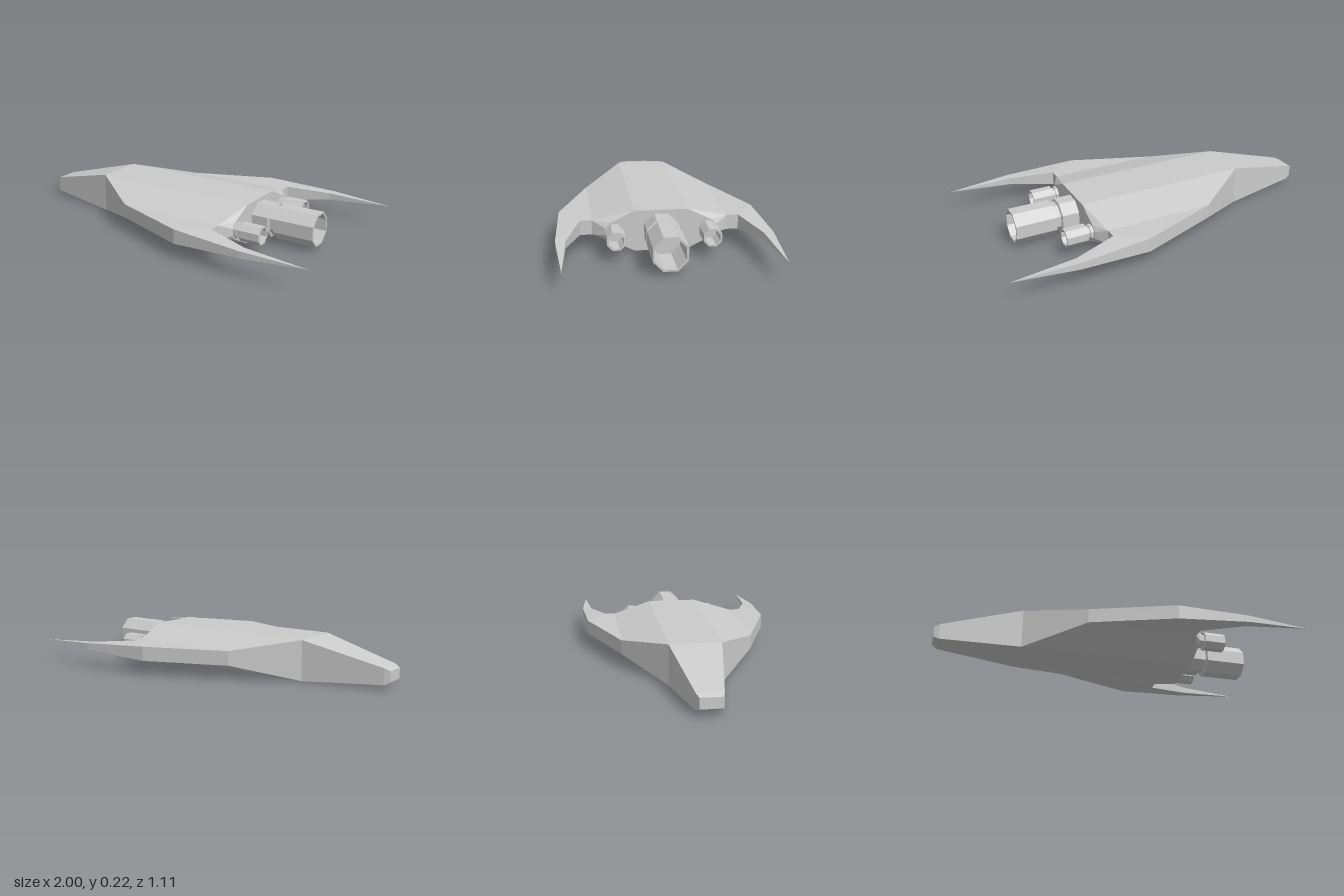
import * as THREE from 'three';
import { ConvexGeometry } from 'three/addons/geometries/ConvexGeometry.js';

const material = new THREE.MeshStandardMaterial({ color: 0xcccccc, flatShading: true });
const ENGINE_Y = 0.112;

function addMesh(group, name, geometry) {
  const mesh = new THREE.Mesh(geometry, material);
  mesh.name = name;
  group.add(mesh);
  return mesh;
}

// Faceted solid through corner points given as [x, y, z]
function solid(corners) {
  return new ConvexGeometry(corners.map((c) => new THREE.Vector3(...c)));
}

// Vertical edge: one point at the bottom height, one at the top height
const edge = (x, z, y0, y1) => [[x, y0, z], [x, y1, z]];

// Edge and its mirror image across the centre line
const edges = (x, z, y0, y1) => [...edge(x, z, y0, y1), ...edge(x, -z, y0, y1)];

// Octagon of corners facing aft, flats on top and bottom
function octagon(x, z, flat) {
  const r = flat / Math.cos(Math.PI / 8);
  return Array.from({ length: 8 }, (_, i) => {
    const a = (i + 0.5) * Math.PI / 4;
    return [x, ENGINE_Y + r * Math.sin(a), z + r * Math.cos(a)];
  });
}

// Eight-sided engine from [x, half-width] pairs, axis along x
function engine(profile) {
  const k = 1 / Math.cos(Math.PI / 8);
  const points = profile.map(([x, r]) => new THREE.Vector2(r * k, x));
  return new THREE.LatheGeometry(points, 8, Math.PI / 8).rotateZ(-Math.PI / 2);
}

export function createModel() {
  const model = new THREE.Group();
  model.name = 'spacecraft';

  // Tapered nose with a bevelled tip
  addMesh(model, 'nose', solid([
    ...edges(-1, 0.056, 0.042, 0.1),
    ...edges(-0.97, 0.069, 0.026, 0.114),
    ...edges(-0.53, 0.14, 0, 0.222),
  ]));

  // Main body: flat spine, sloping shoulders, rear wall with bulges for the side engines
  addMesh(model, 'hull', solid([
    ...edges(-0.53, 0.14, 0, 0.222),
    ...edges(-0.21, 0.362, 0.083, 0.162),
    ...edges(0.402, 0.362, 0.083, 0.162),
    ...edges(0.45, 0.14, 0, 0.222),
    ...octagon(0.45, 0.248, 0.048),
    ...octagon(0.45, -0.248, 0.048),
  ]));

  for (const s of [1, -1]) {
    const side = s > 0 ? 'left' : 'right';

    // Flat wing slab beside the hull
    addMesh(model, side + 'Wing', solid([
      ...edge(-0.21, s * 0.362, 0.083, 0.162),
      ...edge(0.402, s * 0.362, 0.083, 0.162),
      ...edge(0.402, s * 0.424, 0.083, 0.162),
      ...edge(0.24, s * 0.532, 0.083, 0.162),
    ]));

    // Swept prong, then its long pointed tip
    addMesh(model, side + 'WingProng', solid([
      ...edge(0.24, s * 0.532, 0.083, 0.162),
      ...edge(0.402, s * 0.424, 0.083, 0.162),
      ...edge(0.64, s * 0.503, 0.104, 0.142),
      ...edge(0.64, s * 0.556, 0.104, 0.142),
    ]));
    addMesh(model, side + 'WingTip', solid([
      ...edge(0.64, s * 0.503, 0.104, 0.142),
      ...edge(0.64, s * 0.556, 0.104, 0.142),
      [1, 0.122, s * 0.53],
    ]));

    // Small side engine: collar, neck and hollow nozzle
    addMesh(model, side + 'Engine', engine([
      [0.44, 0.04], [0.467, 0.04], [0.467, 0.033], [0.485, 0.033],
      [0.485, 0.048], [0.605, 0.048], [0.605, 0.038], [0.5, 0.038], [0.5, 0],
    ])).position.set(0, ENGINE_Y, s * 0.248);
  }

  // Large centre engine
  addMesh(model, 'mainEngine', engine([
    [0.44, 0.089], [0.545, 0.089], [0.55, 0.074], [0.575, 0.074],
    [0.58, 0.089], [0.81, 0.089], [0.81, 0.078], [0.6, 0.078], [0.6, 0],
  ])).position.set(0, ENGINE_Y, 0);

  return model;
}
